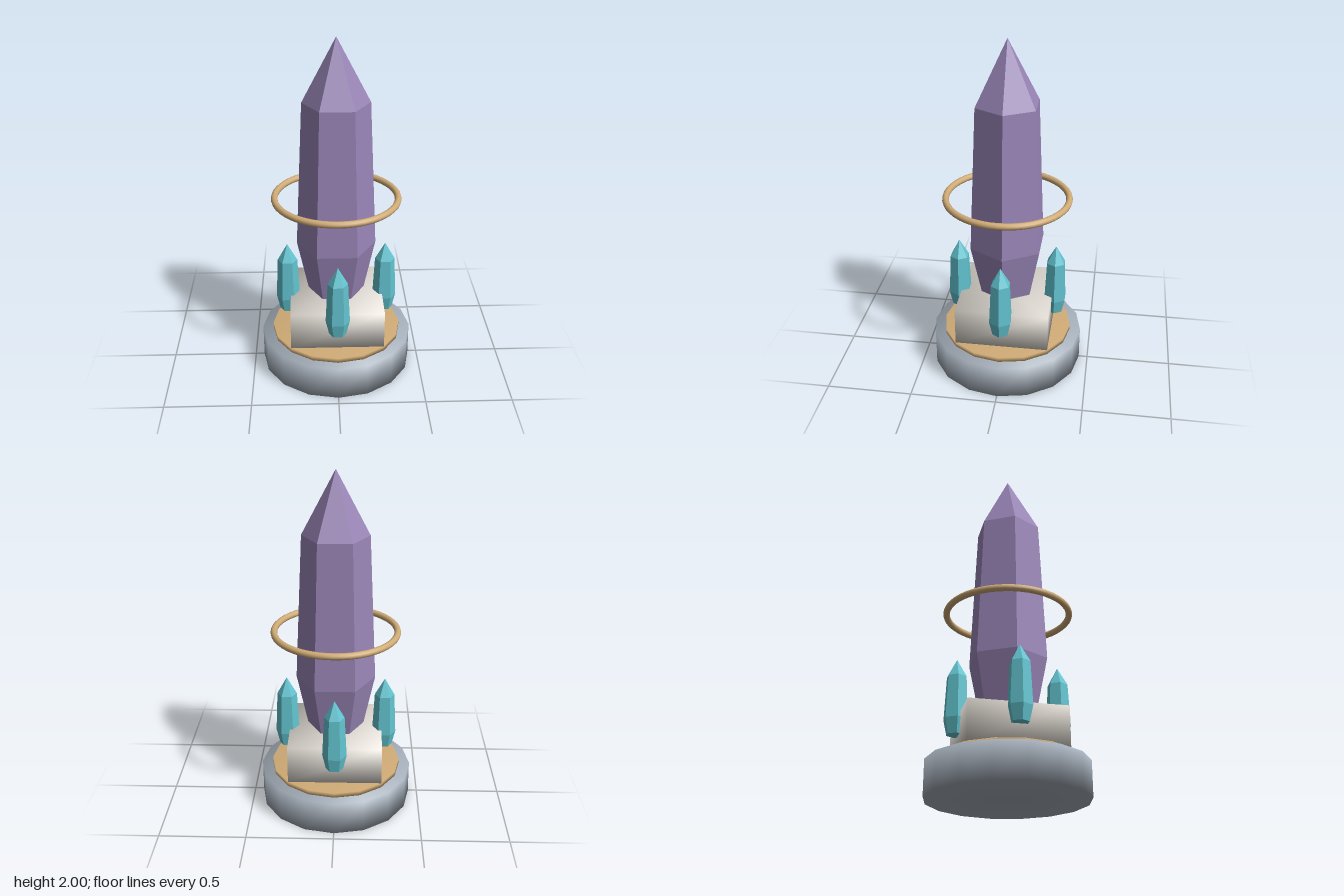
import * as THREE from 'three';
import { mergeVertices } from 'three/addons/utils/BufferGeometryUtils.js';

const stone = new THREE.MeshStandardMaterial({ color: 0xa3adb8 });
const plaster = new THREE.MeshStandardMaterial({ color: 0xd8d3cb });
const gold = new THREE.MeshStandardMaterial({ color: 0xd0ab76 });
const violet = new THREE.MeshStandardMaterial({ color: 0x9a86b8, flatShading: true });
const teal = new THREE.MeshStandardMaterial({ color: 0x62c4d0, flatShading: true });

// Shares vertices across edges so the shading rolls softly over them
function soften(geometry) {
  geometry.deleteAttribute('normal');
  geometry.deleteAttribute('uv');
  const merged = mergeVertices(geometry, 1e-4);
  merged.computeVertexNormals();
  return merged;
}

// Six-sided crystal standing on y = 0: tapered foot, shaft and point
function crystalGeometry(radius, height) {
  const profile = [[0, 0], [0.72, 0], [1, 0.2], [0.825, 0.763], [0, 1]]
    .map(([r, y]) => new THREE.Vector2(r * radius, y * height));
  return new THREE.LatheGeometry(profile, 6, Math.PI / 2);
}

export function createModel() {
  const model = new THREE.Group();
  model.name = 'crystalMonument';

  const add = (name, geometry, material, x, y, z) => {
    const mesh = new THREE.Mesh(geometry, material);
    mesh.name = name;
    mesh.position.set(x, y, z);
    model.add(mesh);
    return mesh;
  };

  // Stepped pedestal
  add('base', soften(new THREE.CylinderGeometry(0.448, 0.448, 0.2, 16)), stone, 0, 0.1, 0);
  add('trimDisc', soften(new THREE.CylinderGeometry(0.384, 0.384, 0.03, 16)), gold, 0, 0.213, 0);
  add('plinth', soften(new THREE.BoxGeometry(0.544, 0.23, 0.544)), plaster, 0, 0.341, 0);

  // Large crystal hovering just above the plinth
  add('mainCrystal', crystalGeometry(0.23, 1.52), violet, 0, 0.48, 0);

  // Four small crystals, one at each side of the plinth
  const small = crystalGeometry(0.07, 0.435);
  for (let i = 0; i < 4; i++) {
    const a = i * Math.PI / 2;
    add('smallCrystal' + (i + 1), small, teal, 0.288 * Math.sin(a), 0.338, 0.288 * Math.cos(a));
  }

  // Floating ring
  const ring = add('ring', new THREE.TorusGeometry(0.353, 0.019, 12, 48), gold, 0, 1.075, 0);
  ring.rotation.x = Math.PI / 2;

  return model;
}
